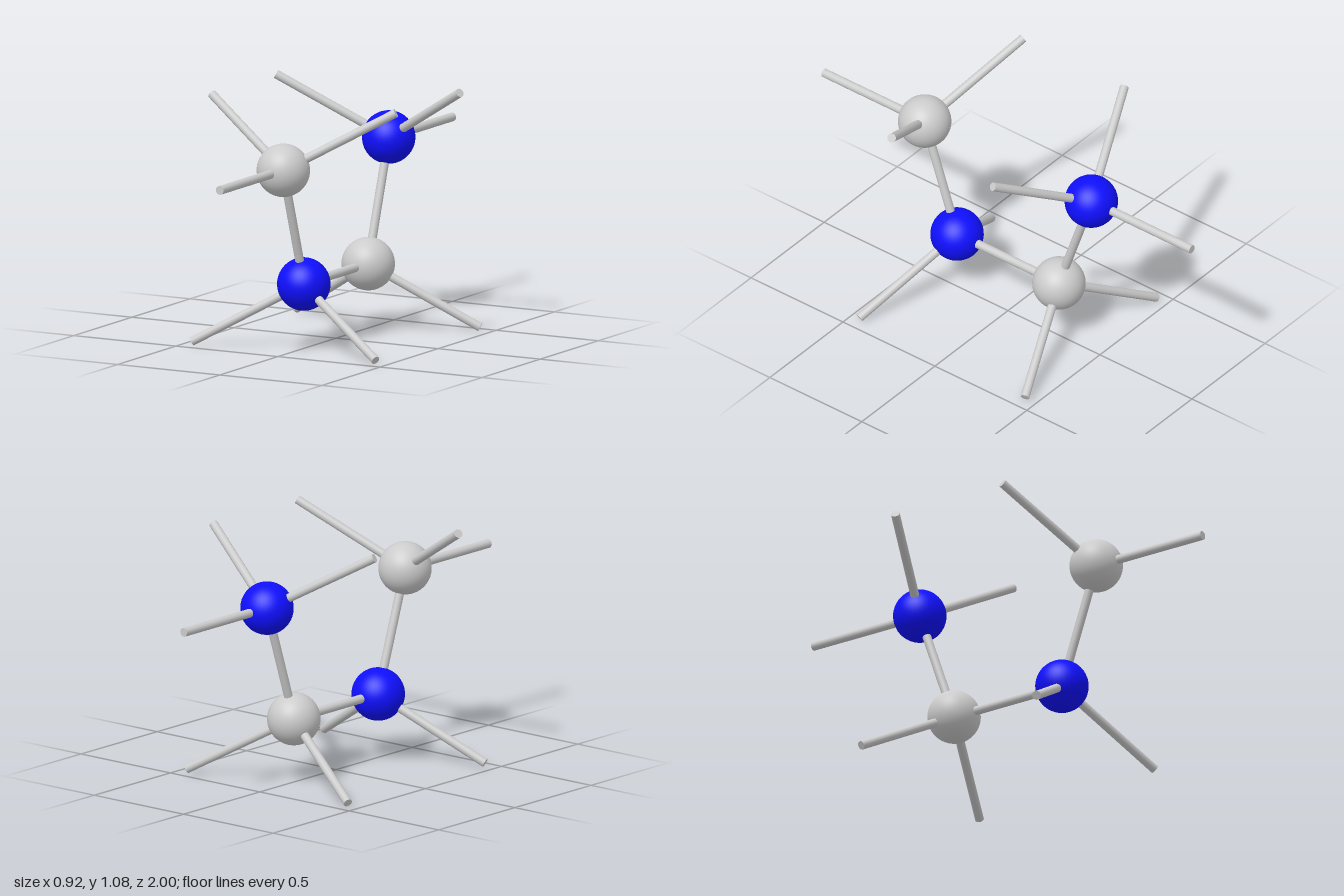
import * as THREE from 'three';

const ATOM_RADIUS = 0.114;
const ROD_RADIUS = 0.019;

export function createModel() {
  const model = new THREE.Group();
  const grey = new THREE.MeshStandardMaterial({ color: 0xcccccc });
  const blue = new THREE.MeshStandardMaterial({ color: 0x0f0fff });
  const ball = new THREE.SphereGeometry(ATOM_RADIUS, 40, 28);
  const up = new THREE.Vector3(0, 1, 0);

  function addAtom(name, position, material) {
    const mesh = new THREE.Mesh(ball, material);
    mesh.name = name;
    mesh.position.copy(position);
    model.add(mesh);
  }

  // Round rod running between two points
  function addRod(name, from, to) {
    const dir = to.clone().sub(from);
    const mesh = new THREE.Mesh(new THREE.CylinderGeometry(ROD_RADIUS, ROD_RADIUS, dir.length(), 20), grey);
    mesh.name = name;
    mesh.position.copy(from).add(to).multiplyScalar(0.5);
    mesh.quaternion.setFromUnitVectors(up, dir.normalize());
    model.add(mesh);
  }

  const lower = {}; // lower atom centre of each half
  for (const [side, s] of [['front', 1], ['back', -1]]) {
    const top = new THREE.Vector3(0, 0.8, 0.453 * s);
    const low = new THREE.Vector3(0, 0.28, 0.277 * s);
    lower[side] = low;

    // Balls alternate in colour along the chain
    addAtom(side + 'UpperAtom', top, s > 0 ? grey : blue);
    addAtom(side + 'LowerAtom', low, s > 0 ? blue : grey);

    // Chain rod and horizontal end rod
    addRod(side + 'ChainRod', top, low);
    addRod(side + 'EndRod', top, new THREE.Vector3(0, 0.8, s));

    // Mirrored pairs of free rods, splaying up and down
    for (const [hand, h] of [['Left', 1], ['Right', -1]]) {
      addRod(side + 'Upper' + hand + 'Rod', top, new THREE.Vector3(0.45 * h, 1.06, 0.275 * s));
      addRod(side + 'Lower' + hand + 'Rod', low, new THREE.Vector3(0.45 * h, 0.018, 0.45 * s));
    }
  }

  // Rod joining the two halves
  addRod('middleChainRod', lower.front, lower.back);
  return model;
}
